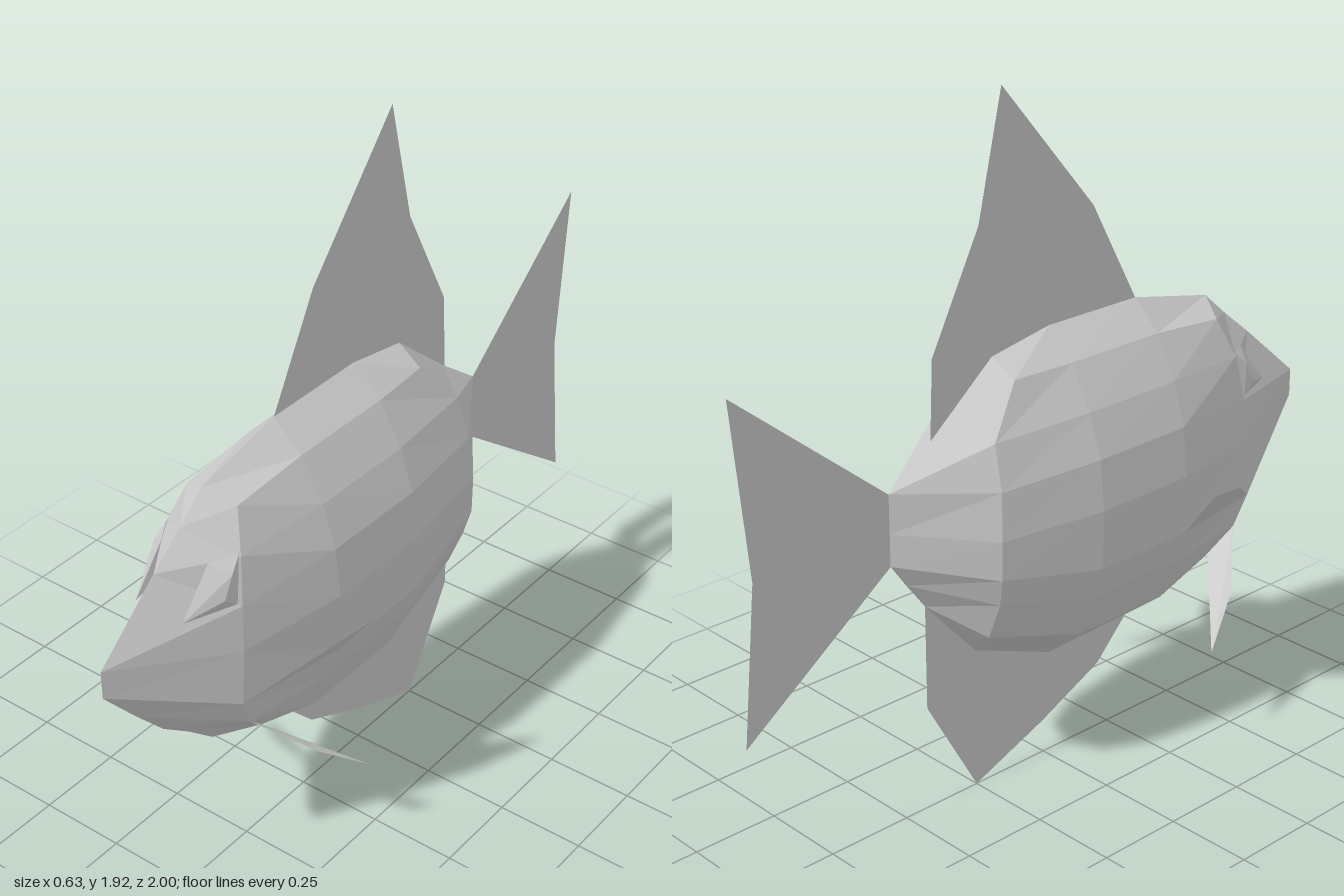
import * as THREE from 'three';
import { ConvexGeometry } from 'three/addons/geometries/ConvexGeometry.js';

const material = new THREE.MeshStandardMaterial({ color: 0xcccccc, flatShading: true });
const finMaterial = new THREE.MeshStandardMaterial({ color: 0xcccccc, flatShading: true, side: THREE.DoubleSide });

// Half cross-sections from back to belly: [x, y] amidships, [x, y, z] at the shoulder and the hips
const MIDDLE = [[0.085, 1.18], [0.15, 1.06], [0.19, 0.94], [0.205, 0.8], [0.2, 0.63], [0.17, 0.535], [0.115, 0.405]];
const SHOULDER = [[0.08, 1.16, 0.58], [0.12, 1.05, 0.62], [0.137, 0.92, 0.64], [0.145, 0.79, 0.65],
  [0.145, 0.63, 0.66], [0.132, 0.54, 0.62], [0.1, 0.46, 0.54]];
const HIPS = [[0.075, 1.18, -0.17], [0.12, 1.05, -0.28], [0.155, 0.93, -0.29], [0.167, 0.8, -0.3],
  [0.165, 0.69, -0.3], [0.145, 0.61, -0.29], [0.1, 0.5, -0.29]];

// Centre-line outline as [y, z]
const NOSE = [[1.13, 0.7], [1.05, 0.8], [0.88, 1], [0.8, 1], [0.67, 0.89], [0.57, 0.8], [0.5, 0.71]];
const TAIL = [[1.225, -0.18], [1.06, -0.38], [0.95, -0.53], [0.84, -0.53], [0.75, -0.53], [0.68, -0.48], [0.6, -0.42]];
const RIDGE = [[1.2, 0.62], [1.26, 0.34], [1.26, 0.02], [1.225, -0.18]];
const BELLY = [[0.42, 0.62], [0.335, 0.34], [0.305, 0.02], [0.41, -0.25]];

// Faceted skin over rows of points running nose to tail, mirrored across the centre plane
function bodyGeometry() {
  const onCentre = ([y, z]) => [0, y, z];
  const edgeRow = (line) => [line[0], ...line, line[3]].map(onCentre);
  const sideRows = MIDDLE.map(([x, y], i) => [
    onCentre(NOSE[i]), SHOULDER[i], [x, y, 0.34], [x * 1.025, y, 0.02], HIPS[i], onCentre(TAIL[i]),
  ]);
  const rows = [edgeRow(RIDGE), ...sideRows, edgeRow(BELLY)];

  const positions = [];
  const triangle = (...points) => {
    const [a, b, c] = points.map((p) => new THREE.Vector3(...p));
    if (new THREE.Triangle(a, b, c).getArea() < 1e-7) return;
    positions.push(...points.flat());
    positions.push(...points.reverse().flatMap(([x, y, z]) => [-x, y, z]));
  };
  for (let i = 0; i < rows.length - 1; i++) {
    for (let j = 0; j < rows[i].length - 1; j++) {
      const a = rows[i][j], b = rows[i + 1][j], c = rows[i + 1][j + 1], d = rows[i][j + 1];
      triangle(a, b, c);
      triangle(a, c, d);
    }
  }
  const geometry = new THREE.BufferGeometry();
  geometry.setAttribute('position', new THREE.Float32BufferAttribute(positions, 3));
  geometry.computeVertexNormals();
  return geometry;
}

// Flat fin on the centre plane, outlined by [z, y] points
function centreFin(points) {
  const shape = new THREE.Shape(points.map(([z, y]) => new THREE.Vector2(-z, y)));
  return new THREE.ShapeGeometry(shape).rotateY(Math.PI / 2);
}

// Four-cornered fin on one side of the body
function sideFin(points, side) {
  const geometry = new THREE.BufferGeometry();
  const corners = points.flatMap(([x, y, z]) => [x * side, y, z]);
  geometry.setAttribute('position', new THREE.Float32BufferAttribute(corners, 3));
  geometry.setIndex(side > 0 ? [0, 1, 2, 0, 2, 3] : [0, 2, 1, 0, 3, 2]);
  geometry.computeVertexNormals();
  return geometry;
}

export function createModel() {
  const model = new THREE.Group();
  model.name = 'fish';
  const add = (name, geometry, mat) => {
    const mesh = new THREE.Mesh(geometry, mat);
    mesh.name = name;
    model.add(mesh);
  };

  add('body', bodyGeometry(), material);

  // Fins on the centre plane
  add('dorsalFin', centreFin([[0.34, 1.26], [0.18, 1.55], [-0.14, 1.92], [-0.22, 1.58],
    [-0.38, 1.27], [-0.39, 1.05], [-0.18, 1.22], [0.02, 1.255]]), finMaterial);
  add('analFin', centreFin([[0.34, 0.335], [0.21, 0.2], [0, 0.1], [-0.25, 0],
    [-0.42, 0.3], [-0.42, 0.6], [-0.25, 0.42], [0.02, 0.31]]), finMaterial);
  add('tailFin', centreFin([[-0.53, 0.95], [-1, 1.335], [-0.955, 0.85], [-1, 0.41], [-0.53, 0.75]]), finMaterial);

  // Paired fins and eye bumps
  for (const side of [1, -1]) {
    const label = side > 0 ? 'left' : 'right';
    add(label + 'PectoralFin', sideFin([[0.145, 0.63, 0.66], [0.2, 0.63, 0.34],
      [0.315, 0.78, 0.335], [0.25, 0.73, 0.51]], side), finMaterial);
    add(label + 'PelvicFin', sideFin([[0.132, 0.54, 0.62], [0.1, 0.47, 0.55],
      [0.305, 0.3, 0.35], [0.245, 0.41, 0.49]], side), finMaterial);
    const eye = [[0.075, 0.93, 0.79], [0.13, 0.93, 0.65], [0.115, 1.06, 0.62], [0.075, 1.05, 0.69],
      [0.125, 0.96, 0.69], [0.125, 1.02, 0.66], [0.06, 0.98, 0.66]];
    add(label + 'Eye', new ConvexGeometry(eye.map(([x, y, z]) => new THREE.Vector3(x * side, y, z))), material);
  }
  return model;
}
